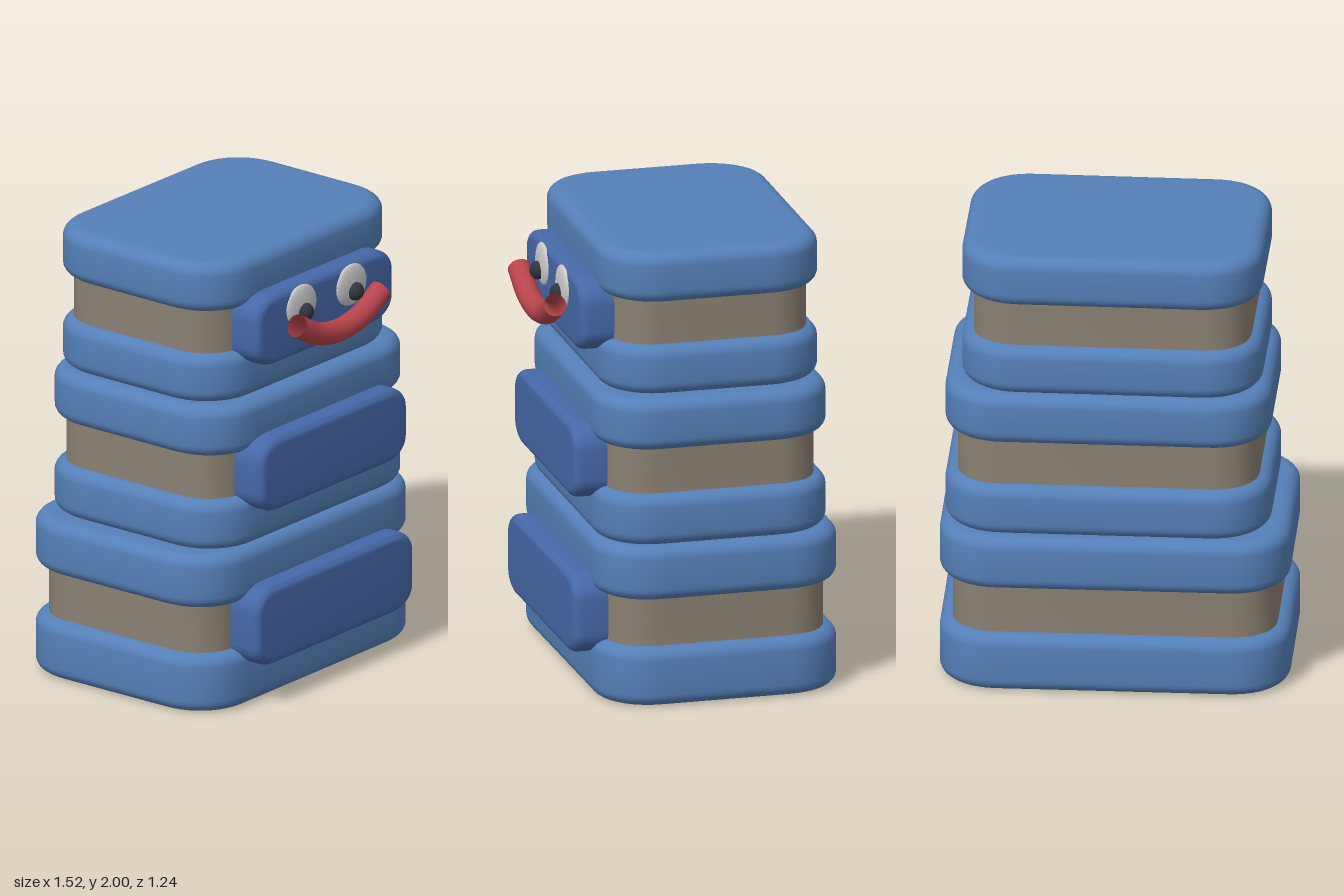
import * as THREE from 'three';
import { toCreasedNormals } from 'three/addons/utils/BufferGeometryUtils.js';

const paint = (color) => new THREE.MeshStandardMaterial({ color });
const shellBlue = paint(0x5580b8);
const plateBlue = paint(0x4668a8);
const coreBrown = paint(0x8a8072);
const eyeWhite = paint(0xcccccc);
const pupilDark = paint(0x30343c);
const mouthRed = paint(0xb8444c);
mouthRed.side = THREE.DoubleSide;

// Rectangle with softly curved corners; rx, ry are the corner extents
function softRect(w, h, rx, ry) {
  const x = w / 2, y = h / 2, k = 0.4;
  const s = new THREE.Shape();
  s.moveTo(-x + rx, -y);
  s.lineTo(x - rx, -y);
  s.bezierCurveTo(x - rx * k, -y, x, -y + ry * k, x, -y + ry);
  s.lineTo(x, y - ry);
  s.bezierCurveTo(x, y - ry * k, x - rx * k, y, x - rx, y);
  s.lineTo(-x + rx, y);
  s.bezierCurveTo(-x + rx * k, y, -x, y - ry * k, -x, y - ry);
  s.lineTo(-x, -y + ry);
  s.bezierCurveTo(-x, -y + ry * k, -x + rx * k, -y, -x + rx, -y);
  return s;
}

// Pillow-edged block, centred, with its thickness along z
function pillow(w, h, depth, rx, ry, inset, bevel) {
  const geo = new THREE.ExtrudeGeometry(softRect(w - 2 * inset, h - 2 * inset, rx, ry), {
    depth: depth - 2 * bevel, bevelEnabled: bevel > 0, bevelSize: inset,
    bevelThickness: bevel, bevelSegments: 6, curveSegments: 10,
  });
  geo.translate(0, 0, -depth / 2 + bevel);
  return toCreasedNormals(geo, 0.7);
}

function add(parent, name, geo, mat, x, y, z) {
  const mesh = new THREE.Mesh(geo, mat);
  mesh.name = name;
  mesh.position.set(x, y, z);
  parent.add(mesh);
  return mesh;
}

// Each range is [min, max]; a tier is two slabs, a core and a front plate
const tiers = [
  { name: 'bottomTier', turn: 0.014, x: [-0.755, 0.755], z: [-0.615, 0.465],
    lower: [0, 0.262], upper: [0.472, 0.715], coreInset: 0.057,
    plateX: [-0.535, 0.55], plateY: [0.185, 0.545], plateFront: 0.555 },
  { name: 'middleTier', turn: 0.008, x: [-0.672, 0.732], z: [-0.577, 0.452],
    lower: [0.712, 0.94], upper: [1.137, 1.366], coreInset: 0.053,
    plateX: [-0.483, 0.525], plateY: [0.87, 1.205], plateFront: 0.54 },
  { name: 'topTier', turn: 0.004, x: [-0.635, 0.66], z: [-0.56, 0.41],
    lower: [1.364, 1.585], upper: [1.775, 2], coreInset: 0.05,
    plateX: [-0.45, 0.48], plateY: [1.515, 1.837], plateFront: 0.498 },
];

const mid = ([a, b]) => (a + b) / 2;
const size = ([a, b]) => b - a;

function makeTier(t) {
  const tier = new THREE.Group();
  tier.name = t.name;
  const cx = mid(t.x), cz = mid(t.z), w = size(t.x), d = size(t.z);
  tier.position.set(cx, 0, cz);
  tier.rotation.y = t.turn;

  for (const [name, range] of [['lowerSlab', t.lower], ['upperSlab', t.upper]]) {
    const slab = pillow(w, d, size(range), 0.2, 0.2, 0.06, 0.055).rotateX(-Math.PI / 2);
    add(tier, name, slab, shellBlue, 0, mid(range), 0);
  }

  // Recessed core between the slabs
  const i = t.coreInset;
  const coreRange = [t.lower[1] - 0.06, t.upper[0] + 0.06];
  const core = pillow(w - 2 * i, d - 2 * i, size(coreRange), 0.2, 0.2, 0, 0).rotateX(-Math.PI / 2);
  add(tier, 'core', core, coreBrown, 0, mid(coreRange), 0);

  // Front plate, sunk into the core
  const depth = t.plateFront - t.z[1] + 0.1;
  const plate = pillow(size(t.plateX), size(t.plateY), depth, 0.1, 0.07, 0.035, 0.04);
  add(tier, 'frontPlate', plate, plateBlue, mid(t.plateX) - cx, mid(t.plateY), t.plateFront - depth / 2 - cz);
  return tier;
}

function makeFace() {
  const face = new THREE.Group();
  face.name = 'face';
  const ball = new THREE.SphereGeometry(1, 28, 20);
  for (const [side, x] of [['right', -0.155], ['left', 0.183]]) {
    const eye = add(face, side + 'Eye', ball, eyeWhite, x, 1.742, 0.497);
    eye.scale.set(0.101, 0.093, 0.022);
    const pupil = add(face, side + 'Pupil', ball, pupilDark, x + 0.002, 1.716, 0.52);
    pupil.scale.set(0.04, 0.04, 0.036);
  }

  // Smiling mouth, an open tube
  const smile = new THREE.CatmullRomCurve3([
    new THREE.Vector3(-0.272, 1.698, 0.572),
    new THREE.Vector3(-0.14, 1.625, 0.57),
    new THREE.Vector3(0.016, 1.598, 0.568),
    new THREE.Vector3(0.172, 1.625, 0.566),
    new THREE.Vector3(0.304, 1.698, 0.564),
  ]);
  add(face, 'mouth', new THREE.TubeGeometry(smile, 32, 0.05, 16), mouthRed, 0, 0, 0);
  return face;
}

export function createModel() {
  const model = new THREE.Group();
  model.name = 'stackedCreature';
  for (const t of tiers) model.add(makeTier(t));
  model.add(makeFace());
  return model;
}
